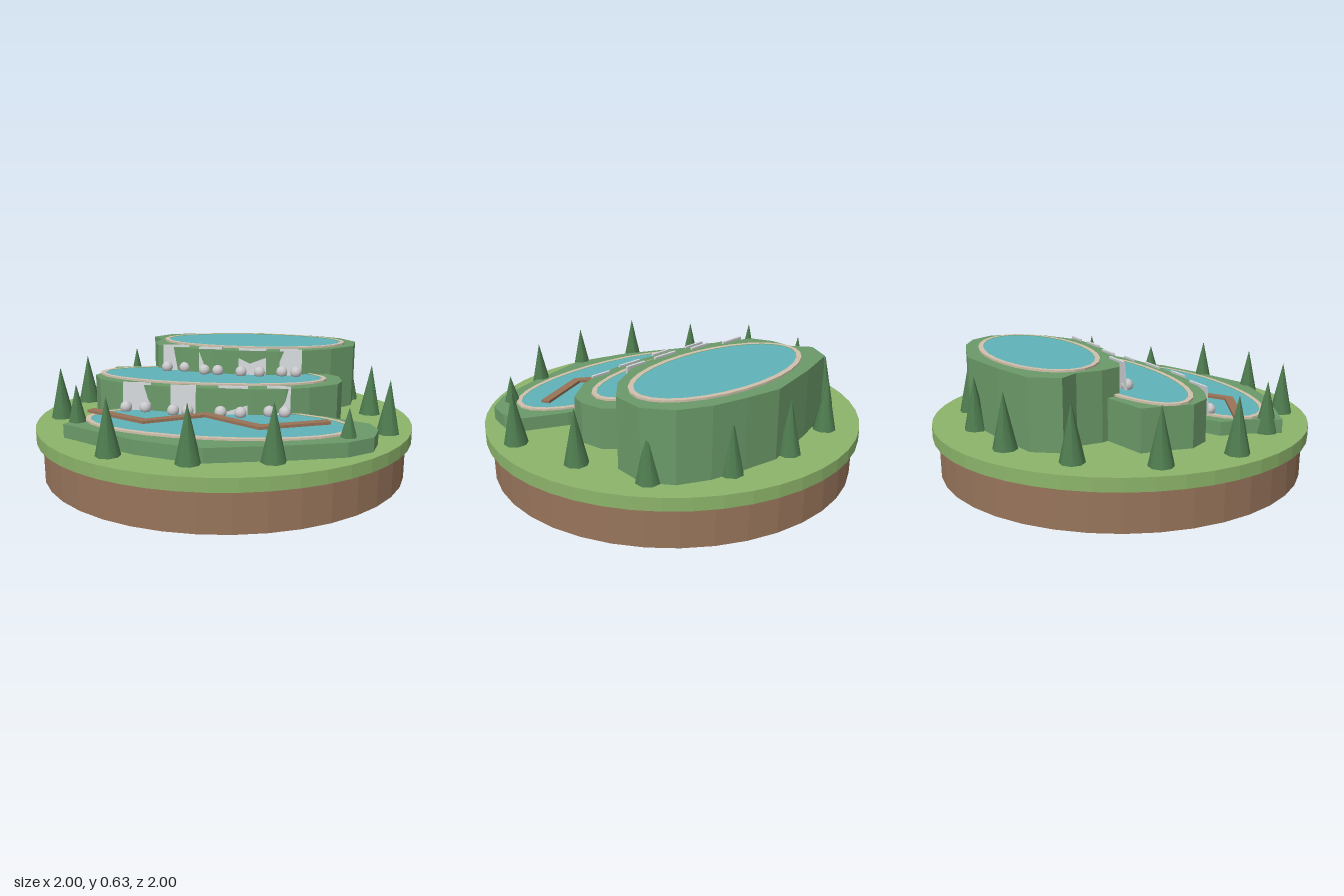
import * as THREE from 'three';

const mat = (name, color) => {
  const m = new THREE.MeshStandardMaterial({ color });
  m.name = name;
  return m;
};

export function createModel() {
  const soil = mat('soil brown', 0x98755b);
  const grass = mat('grass green', 0x8cb46a);
  const hill = mat('terrace green', 0x6b9a69);
  const water = mat('water blue', 0x60b2ba);
  const sand = mat('shore beige', 0xcfc0ab);
  const wood = mat('boardwalk brown', 0x9a7358);
  const leaf = mat('tree green', 0x4f7d50);
  const stone = mat('stone grey', 0xc9c9cb);
  const foam = mat('waterfall white', 0xd2d5d9);

  const model = new THREE.Group();
  const add = (name, geometry, material, parent = model) => {
    const mesh = new THREE.Mesh(geometry, material);
    mesh.name = name;
    parent.add(mesh);
    return mesh;
  };
  const group = (name) => {
    const g = new THREE.Group();
    g.name = name;
    model.add(g);
    return g;
  };

  // Upright slab from a ground outline of [x, z] points, with an optional hole
  const slab = (outline, y0, y1, hole) => {
    const toVec = ([x, z]) => new THREE.Vector2(x, -z);
    const shape = new THREE.Shape(outline.map(toVec));
    if (hole) shape.holes.push(new THREE.Path(hole.map(toVec)));
    const g = new THREE.ExtrudeGeometry(shape, { depth: y1 - y0, bevelEnabled: false });
    return g.rotateX(-Math.PI / 2).translate(0, y0, 0);
  };
  const TILT = 0.36;
  const ellipse = ([cx, cz], a, b, n = 28) => Array.from({ length: n }, (_, i) => {
    const t = (i / n) * Math.PI * 2, u = a * Math.cos(t), v = b * Math.sin(t);
    return [cx + u * Math.cos(TILT) - v * Math.sin(TILT), cz + u * Math.sin(TILT) + v * Math.cos(TILT)];
  });
  const faceted = (g) => {
    const flat = g.toNonIndexed();
    flat.computeVertexNormals();
    return flat;
  };

  // Round island
  add('soilBase', faceted(new THREE.CylinderGeometry(0.97, 0.97, 0.2, 40)).translate(0, 0.1, 0), soil);
  add('grassTop', faceted(new THREE.CylinderGeometry(1, 1, 0.065, 48)).translate(0, 0.2325, 0), grass);

  // Three terraces, each with a pond
  const tiers = [
    { name: 'lower', top: 0.335, centre: [-0.118, 0.405], a: 0.66, b: 0.28, outline: [
      [-0.66, 0.02], [-0.4, -0.02], [0, 0.1], [0.33, 0.3], [0.45, 0.38], [0.615, 0.55], [0.615, 0.66],
      [0.545, 0.775], [0.4, 0.828], [0.14, 0.82], [-0.02, 0.805], [-0.245, 0.785], [-0.36, 0.72],
      [-0.53, 0.605], [-0.715, 0.415], [-0.79, 0.33], [-0.85, 0.27], [-0.73, 0.14]] },
    { name: 'middle', top: 0.475, centre: [-0.06, -0.06], a: 0.627, b: 0.24, outline: [
      [-0.555, -0.44], [-0.28, -0.41], [0.1, -0.3], [0.4, -0.15], [0.57, -0.03], [0.625, 0.08], [0.6, 0.2],
      [0.55, 0.27], [0.38, 0.325], [0.25, 0.335], [0.08, 0.305], [-0.1, 0.25], [-0.26, 0.19],
      [-0.42, 0.11], [-0.57, 0.0], [-0.66, -0.1], [-0.68, -0.22], [-0.61, -0.33]] },
    { name: 'upper', top: 0.613, centre: [0.25, -0.37], a: 0.535, b: 0.277, outline: [
      [-0.18, -0.775], [0.07, -0.755], [0.38, -0.705], [0.54, -0.61], [0.69, -0.51], [0.8, -0.39], [0.84, -0.24],
      [0.77, -0.09], [0.61, -0.01], [0.41, 0.025], [0.3, 0.015], [0.15, -0.03], [-0.04, -0.105],
      [-0.2, -0.21], [-0.32, -0.335], [-0.32, -0.45], [-0.275, -0.57], [-0.305, -0.68]] },
  ];
  for (const { name, top, centre, a, b, outline } of tiers) {
    add(name + 'Terrace', slab(outline, 0.25, top), hill);
    const inner = ellipse(centre, a - 0.026, b - 0.026);
    add(name + 'Shore', slab(ellipse(centre, a, b), top, top + 0.01, inner), sand);
    add(name + 'Water', slab(inner, top, top + 0.007), water);
  }

  // Waterfalls leaning over the terrace edges: [x, z, width]
  const falls = group('waterfalls');
  const addFalls = (top, drop, list) => list.forEach(([x, z, w]) => {
    const fall = add('waterfall', new THREE.BoxGeometry(w, drop, 0.012), foam, falls);
    fall.rotation.set(-0.1, -0.33, 0, 'YXZ');
    fall.position.set(x, top + 0.012 - drop / 2, z + 0.008);
  });
  addFalls(0.613, 0.15, [[-0.225, -0.255, 0.15], [-0.05, -0.14, 0.13], [0.165, -0.04, 0.15], [0.365, 0.022, 0.12]]);
  addFalls(0.475, 0.15, [[-0.475, 0.075, 0.15], [-0.25, 0.19, 0.13], [-0.005, 0.26, 0.15], [0.22, 0.31, 0.12]]);

  // Stones at the foot of the falls
  const stones = group('stones');
  const ball = new THREE.SphereGeometry(0.031, 14, 10);
  const addStones = (y, list) => list.forEach(([x, z]) => add('stone', ball, stone, stones).position.set(x, y, z));
  addStones(0.502, [[-0.28, -0.24], [-0.185, -0.205], [-0.09, -0.105], [-0.02, -0.077],
    [0.098, -0.018], [0.193, 0.015], [0.315, 0.03], [0.387, 0.058]]);
  addStones(0.362, [[-0.535, 0.092], [-0.438, 0.125], [-0.305, 0.212], [-0.235, 0.238],
    [-0.075, 0.292], [0.02, 0.328], [0.167, 0.335], [0.24, 0.362]]);

  // Zigzag boardwalk with mitred corners
  const path = [[-0.715, 0.09], [-0.465, 0.36], [-0.15, 0.297], [0.06, 0.57], [0.41, 0.545]]
    .map(([x, z]) => new THREE.Vector2(x, z));
  const half = 0.023;
  const left = [], right = [];
  path.forEach((p, i) => {
    const before = p.clone().sub(path[Math.max(i - 1, 0)]).normalize();
    const after = path[Math.min(i + 1, path.length - 1)].clone().sub(p).normalize();
    const dir = before.clone().add(after).normalize();
    const ref = i ? before : after;
    const m = half / dir.dot(ref);
    left.push([p.x - dir.y * m, p.y + dir.x * m]);
    right.unshift([p.x + dir.y * m, p.y - dir.x * m]);
  });
  add('boardwalk', slab([...left, ...right], 0.346, 0.36), wood);

  // Ring of conical trees: [x, z, height]
  const trees = group('trees');
  [[-0.417, -0.73], [-0.064, -0.825], [0.288, -0.74], [0.593, -0.565], [0.818, -0.265], [0.802, 0.11],
    [0.738, 0.495], [0.433, 0.742, 0.21], [0.06, 0.818], [-0.31, 0.77], [-0.647, 0.59],
    [-0.78, 0.232, 0.26], [-0.866, -0.136], [-0.722, -0.494]].forEach(([x, z, h = 0.275]) => {
    add('tree', new THREE.ConeGeometry(0.06, h, 8), leaf, trees).position.set(x, 0.262 + h / 2, z);
  });

  return model;
}
